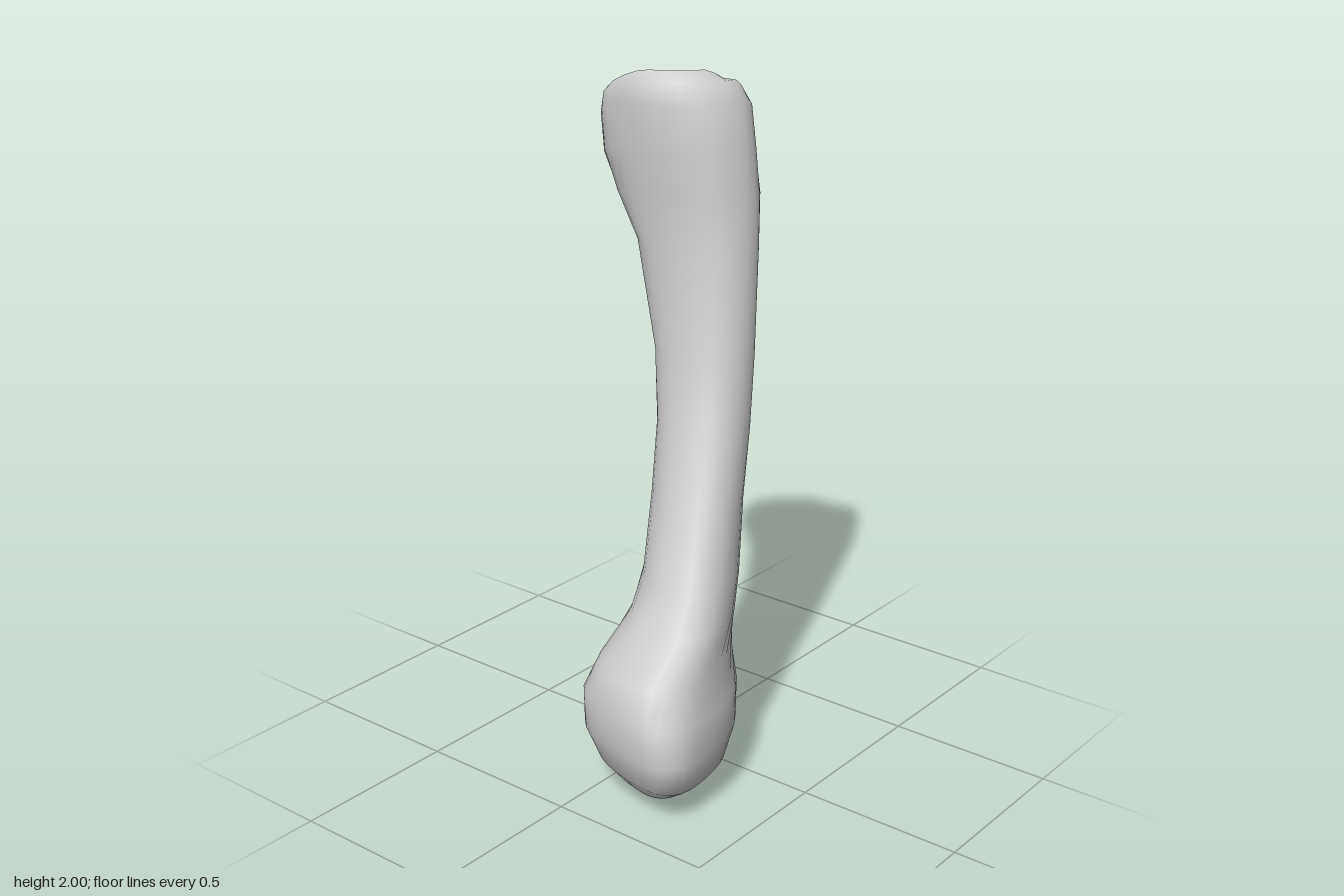
import * as THREE from 'three';

const SIDES = 28;

// Shaft cross-sections from the foot up:
// height, x min, x max, z min, z max, taper (+ broad at the back), shear (+ leans front to the left)
const SECTIONS = [
  [0.00, 0.09, 0.17, 0.17, 0.27, 0, 0],
  [0.04, 0.035, 0.26, 0.09, 0.35, 0, 0],
  [0.10, 0.00, 0.335, 0.045, 0.41, 0, 0],
  [0.20, -0.045, 0.362, 0.005, 0.445, 0, 0],
  [0.30, -0.065, 0.34, -0.035, 0.435, 0, 0.1],
  [0.40, -0.055, 0.305, -0.07, 0.395, 0, 0.25],
  [0.50, -0.07, 0.275, -0.11, 0.27, 0.05, 0.35],
  [0.60, -0.09, 0.25, -0.148, 0.19, 0.1, 0.38],
  [0.80, -0.12, 0.20, -0.205, 0.085, 0.1, 0.3],
  [1.00, -0.135, 0.165, -0.245, 0.00, 0.1, 0.12],
  [1.20, -0.17, 0.135, -0.29, -0.06, 0.05, -0.02],
  [1.50, -0.26, 0.105, -0.345, -0.10, 0, -0.12],
  [1.65, -0.325, 0.09, -0.375, -0.09, 0, -0.2],
  [1.78, -0.36, 0.07, -0.405, -0.08, 0, -0.2],
  [1.91, -0.366, 0.04, -0.438, -0.078, 0, -0.2],
  [1.97, -0.365, 0.005, -0.445, -0.09, 0, -0.2],
  [2.00, -0.358, -0.04, -0.43, -0.115, 0, -0.2],
];

// Outlines (x, z) of the two ends seen from above, starting at the +x side
const FOOT = outline([
  [0.36, 0.29], [0.355, 0.38], [0.31, 0.43], [0.25, 0.445], [0.14, 0.43], [0.01, 0.39], [-0.06, 0.34],
  [-0.06, 0.22], [-0.035, 0.08], [0.04, 0], [0.15, -0.03], [0.24, -0.015], [0.31, 0.07], [0.345, 0.18],
]);
const HEAD = outline([
  [0.07, -0.28], [0.05, -0.2], [0, -0.14], [-0.07, -0.1], [-0.17, -0.078], [-0.3, -0.09], [-0.355, -0.125],
  [-0.365, -0.2], [-0.33, -0.32], [-0.27, -0.425], [-0.2, -0.445], [-0.1, -0.41], [0, -0.385], [0.055, -0.34],
]);

function outline(points) {
  const curve = new THREE.CatmullRomCurve3(points.map(([x, z]) => new THREE.Vector3(x, 0, z)), true);
  const sampled = Array.from({ length: SIDES }, (_, j) => curve.getPoint(j / SIDES));
  return normalise(sampled.map((p) => [p.x, p.z]));
}

// Fits an outline into the square from -1 to 1
function normalise(points) {
  const axes = [0, 1].map((k) => {
    const v = points.map((p) => p[k]);
    return [Math.min(...v), Math.max(...v)];
  });
  return points.map((p) => axes.map(([lo, hi], k) => (2 * (p[k] - lo)) / (hi - lo) - 1));
}

// Height of the slanted upper joint face, with a raised knuckle on its +x side
const jointHeight = (x, z) =>
  Math.min(2, 2 + 0.35 * (x + 0.05) + 0.6 * (z + 0.2) + 0.3 * Math.max(0, x + 0.1));

// Oval shaft outline that blends into the end outlines, fitted into its box
function ring([y, x0, x1, z0, z1, taper, shear]) {
  const soft = (v) => Math.sign(v) * Math.abs(v) ** 0.9;
  const foot = 1 - THREE.MathUtils.smoothstep(y, 0.25, 0.52);
  const head = THREE.MathUtils.smoothstep(y, 1.55, 1.88);
  const oval = normalise(Array.from({ length: SIDES }, (_, j) => {
    const t = (j / SIDES) * Math.PI * 2;
    const s = soft(Math.sin(t));
    return [soft(Math.cos(t)) * (1 - taper * s) + shear * s, s];
  }));
  const shape = normalise(oval.map((p, j) =>
    p.map((v, k) => v * (1 - foot - head) + FOOT[j][k] * foot + HEAD[j][k] * head)));
  return shape.map(([u, v]) => {
    const x = x0 + ((u + 1) / 2) * (x1 - x0);
    const z = z0 + ((v + 1) / 2) * (z1 - z0);
    // the upper end is squeezed under the slanted face
    const h = y > 1.5 ? 1.5 + (y - 1.5) * (jointHeight(x, z) - 1.5) / 0.5 : y;
    return new THREE.Vector3(x, h, z);
  });
}

function centreOf(points) {
  const c = new THREE.Vector3();
  points.forEach((p) => c.add(p));
  return c.divideScalar(points.length);
}

function makeMesh(name, points, index, material) {
  const geometry = new THREE.BufferGeometry().setFromPoints(points);
  geometry.setIndex(index);
  geometry.computeVertexNormals();
  const mesh = new THREE.Mesh(geometry, material);
  mesh.name = name;
  return mesh;
}

// Quads between consecutive rings
function bridge(index, rows) {
  for (let i = 0; i < rows - 1; i++) {
    for (let j = 0; j < SIDES; j++) {
      const k = (j + 1) % SIDES;
      const a = i * SIDES + j, b = i * SIDES + k;
      index.push(a, a + SIDES, b, b, a + SIDES, b + SIDES);
    }
  }
}

export function createModel() {
  const group = new THREE.Group();
  group.name = 'longBone';
  const material = new THREE.MeshStandardMaterial({ color: 0xcccccc });
  const rings = SECTIONS.map(ring);

  // Shaft with its rounded lower head, closed underneath
  const body = rings.flat();
  const bodyIndex = [];
  bridge(bodyIndex, rings.length);
  const bottom = body.push(centreOf(rings[0])) - 1;
  for (let j = 0; j < SIDES; j++) bodyIndex.push(bottom, j, (j + 1) % SIDES);
  group.add(makeMesh('shaftAndLowerHead', body, bodyIndex, material));

  // Slightly dished joint face on the upper end, with a sharp rim
  const rim = rings[rings.length - 1];
  const centre = centreOf(rim);
  const dish = (p, depth) => p.setY(jointHeight(p.x, p.z) - depth);
  const face = [0, 0.3, 0.65].flatMap((t) =>
    rim.map((p) => dish(p.clone().lerp(centre, t), 0.012 * t)));
  const faceIndex = [];
  bridge(faceIndex, 3);
  const middle = face.push(dish(centre, 0.012)) - 1;
  for (let j = 0; j < SIDES; j++) faceIndex.push(middle, 2 * SIDES + (j + 1) % SIDES, 2 * SIDES + j);
  group.add(makeMesh('upperJointFace', face, faceIndex, material));

  return group;
}
